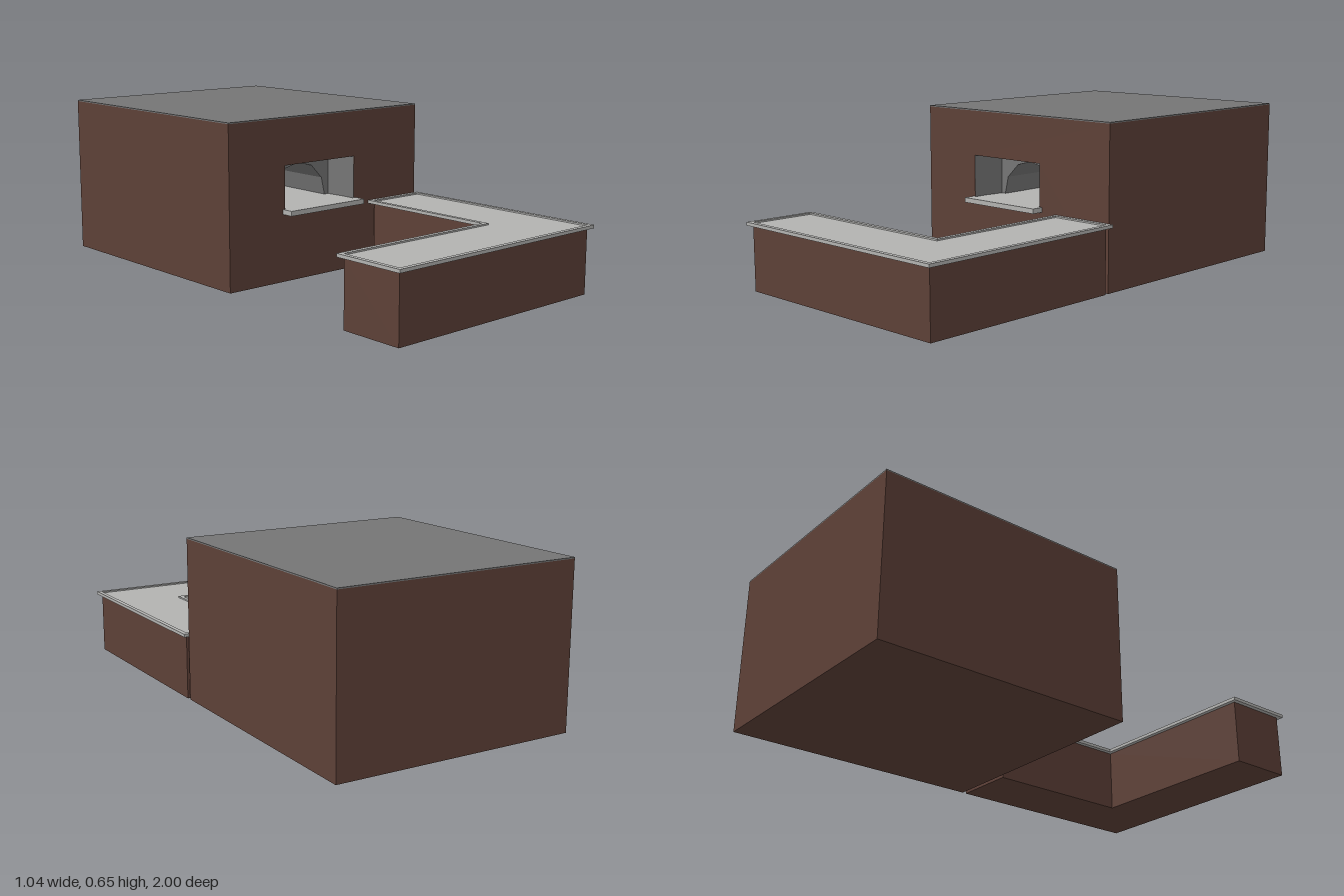
import * as THREE from 'three';

const mat = (name, color, side = THREE.FrontSide) => {
  const m = new THREE.MeshStandardMaterial({ color, side });
  m.name = name;
  return m;
};

const toShape = (pts) => new THREE.Shape(pts.map(([x, y]) => new THREE.Vector2(x, y)));
const toPath = (pts) => new THREE.Path(pts.map(([x, y]) => new THREE.Vector2(x, y)));
const rect = (x0, y0, x1, y1) => [[x0, y0], [x1, y0], [x1, y1], [x0, y1]];

// Flat-faced tunnel joining two matching outlines at two depths
function tunnel(front, zFront, back, zBack) {
  const pos = [];
  front.forEach((p, i) => {
    const j = (i + 1) % front.length;
    const a = [...p, zFront], b = [...front[j], zFront];
    const c = [...back[j], zBack], d = [...back[i], zBack];
    pos.push(...a, ...d, ...b, ...b, ...d, ...c);
  });
  const g = new THREE.BufferGeometry();
  g.setAttribute('position', new THREE.Float32BufferAttribute(pos, 3));
  g.computeVertexNormals();
  return g;
}

// Plan outline given as [x, z], extruded upward from y0 to y1
function slab(plan, y0, y1, hole) {
  const flip = (pts) => pts.map(([x, z]) => [x, -z]);
  const shape = toShape(flip(plan));
  if (hole) shape.holes.push(toPath(flip(hole)));
  return new THREE.ExtrudeGeometry(shape, { depth: y1 - y0, bevelEnabled: false })
    .rotateX(-Math.PI / 2).translate(0, y0, 0);
}

// L-shaped counter plan, shrunk inward by d on every side
const lPlan = (d) => [
  [-0.52 + d, 1 - d], [0.52 - d, 1 - d], [0.52 - d, 0.08 + d],
  [0.227 + d, 0.08 + d], [0.227 + d, 0.70 + d], [-0.52 + d, 0.70 + d],
];

export function createModel() {
  const model = new THREE.Group();
  model.name = 'outdoorOven';
  const brick = mat('brownBrick', 0x5d4037);
  const grey = mat('darkGrey', 0x757575, THREE.DoubleSide);
  const stone = mat('paleStone', 0xb2b2b0);

  const add = (name, geometry, material, parent = model) => {
    const mesh = new THREE.Mesh(geometry, material);
    mesh.name = name;
    parent.add(mesh);
    return mesh;
  };
  const box = (x0, x1, y0, y1, z0, z1) =>
    new THREE.BoxGeometry(x1 - x0, y1 - y0, z1 - z0)
      .translate((x0 + x1) / 2, (y0 + y1) / 2, (z0 + z1) / 2);

  // Oven block with its front opening
  const oven = new THREE.Group();
  oven.name = 'oven';
  model.add(oven);
  const mouth = rect(-0.225, 0.27, 0.143, 0.465);
  const walls = toShape(rect(-0.5, 0, 0.5, 0.65));
  walls.holes.push(toPath(mouth));
  add('ovenWalls', new THREE.ExtrudeGeometry(walls, { depth: 1.07, bevelEnabled: false })
    .translate(0, 0, -0.99), brick, oven);
  add('ovenRearWall', box(-0.5, 0.5, 0, 0.65, -1, -0.99), brick, oven);
  add('roof', box(-0.5, 0.5, 0.65, 0.655, -1, 0.08), grey, oven);

  // Tapered recess ending in a wall with an arched doorway
  const recessZ = -0.06, vaultZ = -0.65;
  const inner = rect(-0.207, 0.27, 0.128, 0.452);
  const arch = [
    [0.11, 0.28], [0.09, 0.365], [0.035, 0.422], [-0.04, 0.441],
    [-0.112, 0.422], [-0.17, 0.365], [-0.19, 0.28],
  ];
  add('recessLining', tunnel(mouth, 0.0795, inner, recessZ), grey, oven);
  const archWall = toShape(inner);
  archWall.holes.push(toPath(arch));
  add('archWall', new THREE.ShapeGeometry(archWall).translate(0, 0, recessZ), grey, oven);

  // Baking vault behind the doorway
  add('vault', tunnel(arch, recessZ, arch, vaultZ), grey, oven);
  add('vaultEnd', new THREE.ShapeGeometry(toShape(arch)).translate(0, 0, vaultZ), grey, oven);

  // Hearth floor and projecting shelf
  add('recessFloor', box(-0.218, 0.137, 0.272, 0.292, recessZ, 0.08), stone, oven);
  add('vaultFloor', box(-0.188, 0.108, 0.272, 0.292, vaultZ, recessZ), stone, oven);
  add('shelf', box(-0.235, 0.155, 0.272, 0.292, 0.08, 0.13), stone, oven);

  // L-shaped counter: brick base, stone top and a low raised lip
  const counter = new THREE.Group();
  counter.name = 'counter';
  model.add(counter);
  add('counterBase', slab(lPlan(0.018), 0, 0.258), brick, counter);
  add('counterTop', slab(lPlan(0), 0.258, 0.265), stone, counter);
  add('counterLip', slab(lPlan(0), 0.265, 0.271, lPlan(0.018)), stone, counter);

  return model;
}
